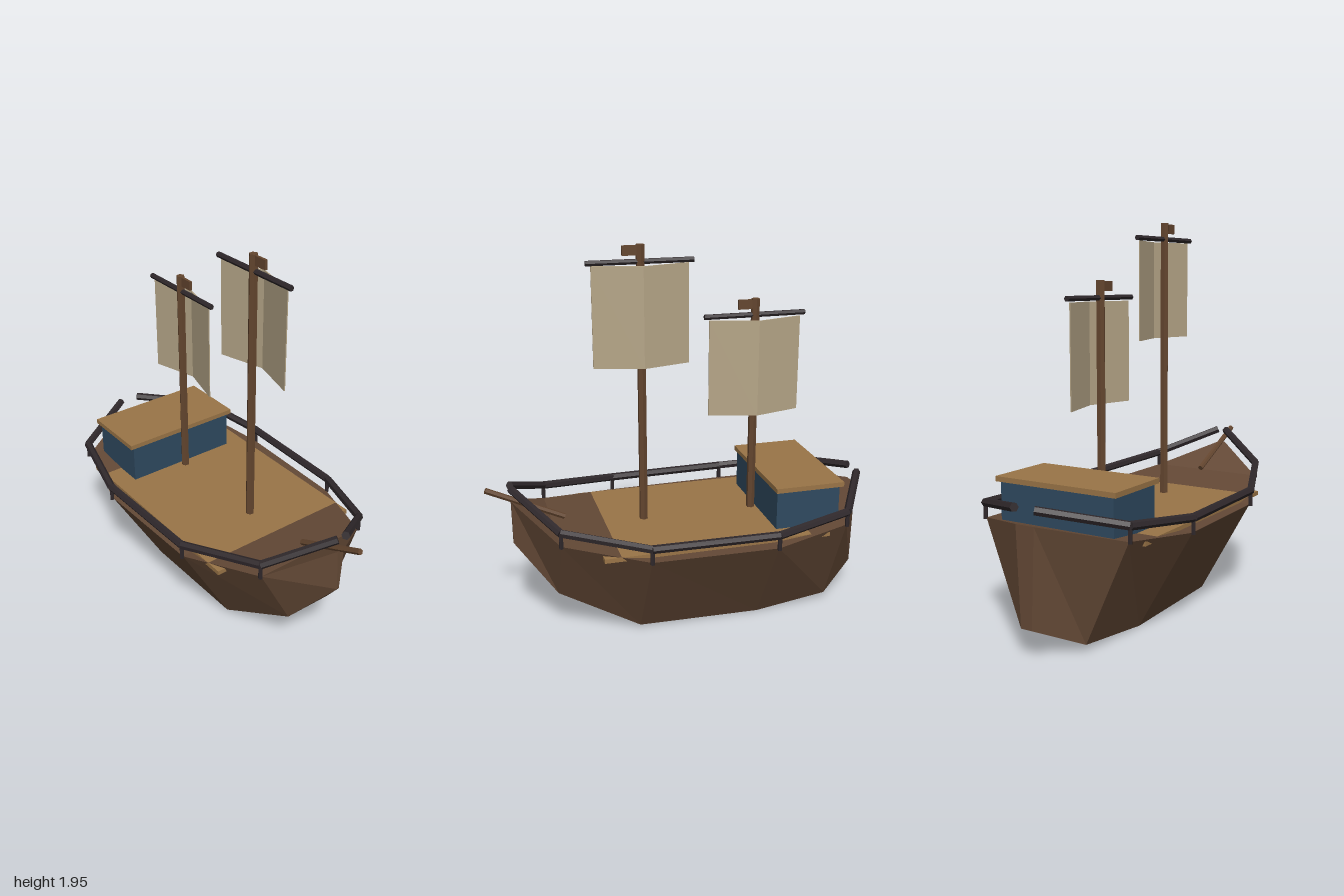
import * as THREE from 'three';

const paint = (name, color, side = THREE.FrontSide) => {
  const m = new THREE.MeshStandardMaterial({ color, flatShading: true, side });
  m.name = name;
  return m;
};

export function createModel() {
  const hullBrown = paint('hullBrown', 0x644936);
  const sparBrown = paint('sparBrown', 0x64462f);
  const railDark = paint('railDark', 0x2f282b);
  const plankTan = paint('plankTan', 0x9a7547);
  const cabinBlue = paint('cabinBlue', 0x2f4a60);
  const canvas = paint('canvas', 0xb6a688, THREE.DoubleSide);

  const ship = new THREE.Group();
  ship.name = 'sailingShip';

  const add = (name, geometry, material, parent = ship) => {
    const mesh = new THREE.Mesh(geometry, material);
    mesh.name = name;
    parent.add(mesh);
    return mesh;
  };
  // box given by its minimum and maximum corners
  const box = (name, [x0, y0, z0], [x1, y1, z1], material, parent) => {
    const mesh = add(name, new THREE.BoxGeometry(x1 - x0, y1 - y0, z1 - z0), material, parent);
    mesh.position.set((x0 + x1) / 2, (y0 + y1) / 2, (z0 + z1) / 2);
    return mesh;
  };
  // six-sided rod between two points
  const rod = (name, from, to, radius, material, parent) => {
    const a = new THREE.Vector3(...from), b = new THREE.Vector3(...to);
    const dir = b.clone().sub(a);
    const mesh = add(name, new THREE.CylinderGeometry(radius, radius, dir.length(), 6), material, parent);
    mesh.position.copy(a).add(b).multiplyScalar(0.5);
    mesh.quaternion.setFromUnitVectors(new THREE.Vector3(0, 1, 0), dir.normalize());
    return mesh;
  };

  // hull stations: x, top y, top half width, bottom y, bottom half width
  const stations = [
    [-0.99, 0.61, 0.05, 0.14, 0.03],
    [-0.78, 0.545, 0.4, 0.035, 0.17],
    [-0.38, 0.505, 0.49, 0, 0.2],
    [0.26, 0.505, 0.475, 0.012, 0.2],
    [0.67, 0.565, 0.31, 0.22, 0.13],
    [0.87, 0.7, 0.02, 0.47, 0.006],
  ];

  // hull lofted through the stations, with closed ends
  const points = [], faces = [];
  const quad = (a, b, c, d) => faces.push(a, b, c, a, c, d);
  stations.forEach(([x, ty, tz, by, bz], s) => {
    points.push(x, ty, tz, x, by, bz, x, by, -bz, x, ty, -tz);
    if (s === stations.length - 1) return;
    for (let k = 0; k < 4; k++) {
      const n = (k + 1) % 4, i = s * 4;
      quad(i + k, i + n, i + 4 + n, i + 4 + k);
    }
  });
  const last = (stations.length - 1) * 4;
  quad(0, 3, 2, 1);
  quad(last, last + 1, last + 2, last + 3);
  let hull = new THREE.BufferGeometry();
  hull.setAttribute('position', new THREE.Float32BufferAttribute(points, 3));
  hull.setIndex(faces);
  hull = hull.toNonIndexed();
  hull.computeVertexNormals();
  add('hull', hull, hullBrown);

  // deck planking and cabin
  box('deck', [-0.68, 0.503, -0.42], [0.48, 0.525, 0.42], plankTan);
  box('cabin', [-0.77, 0.51, -0.315], [-0.43, 0.73, 0.315], cabinBlue);
  box('cabinRoof', [-0.785, 0.728, -0.335], [-0.42, 0.753, 0.335], plankTan);

  // railings on both sides, with posts at the inner stations
  for (const side of [1, -1]) {
    const railing = new THREE.Group();
    railing.name = side > 0 ? 'frontRailing' : 'backRailing';
    ship.add(railing);
    const path = stations.map(([x, y, z]) => [x, y + 0.073, side * (z + 0.005)]);
    for (let i = 0; i < path.length - 1; i++) {
      rod('rail', path[i], path[i + 1], 0.021, railDark, railing);
      if (i > 0) {
        const [x, y, z] = path[i];
        rod('railPost', [x, y - 0.08, z], [x, y, z], 0.011, railDark, railing);
      }
    }
  }

  // masts, each with a yard, a pennant and a sail bent at its middle
  const rig = (name, x, top, yardY, sailTop, sailBottom) => {
    const group = new THREE.Group();
    group.name = name;
    ship.add(group);
    rod('mast', [x, 0.5, 0], [x, top, 0], 0.022, sparBrown, group);
    rod('yard', [x - 0.267, yardY, 0], [x + 0.267, yardY, 0], 0.014, railDark, group);
    box('pennant', [x, top - 0.052, -0.007], [x + 0.09, top - 0.004, 0.007], sparBrown, group);
    const outline = new THREE.Shape([
      [-0.242, 0.004], [0, 0.07], [0.242, 0.004],
      [0.242, -0.002], [0, 0.064], [-0.242, -0.002],
    ].map(([px, py]) => new THREE.Vector2(px, py)));
    const sail = new THREE.ExtrudeGeometry(outline, { depth: sailTop - sailBottom, bevelEnabled: false });
    sail.rotateX(-Math.PI / 2);
    add('sail', sail, canvas, group).position.set(x, sailBottom, 0);
  };
  rig('sternRig', -0.4, 1.655, 1.573, 1.555, 1.06);
  rig('bowRig', 0.19, 1.945, 1.863, 1.85, 1.35);

  // bowsprit
  rod('bowsprit', [0.605, 0.585, 0], [0.993, 0.768, 0], 0.015, sparBrown);

  return ship;
}
